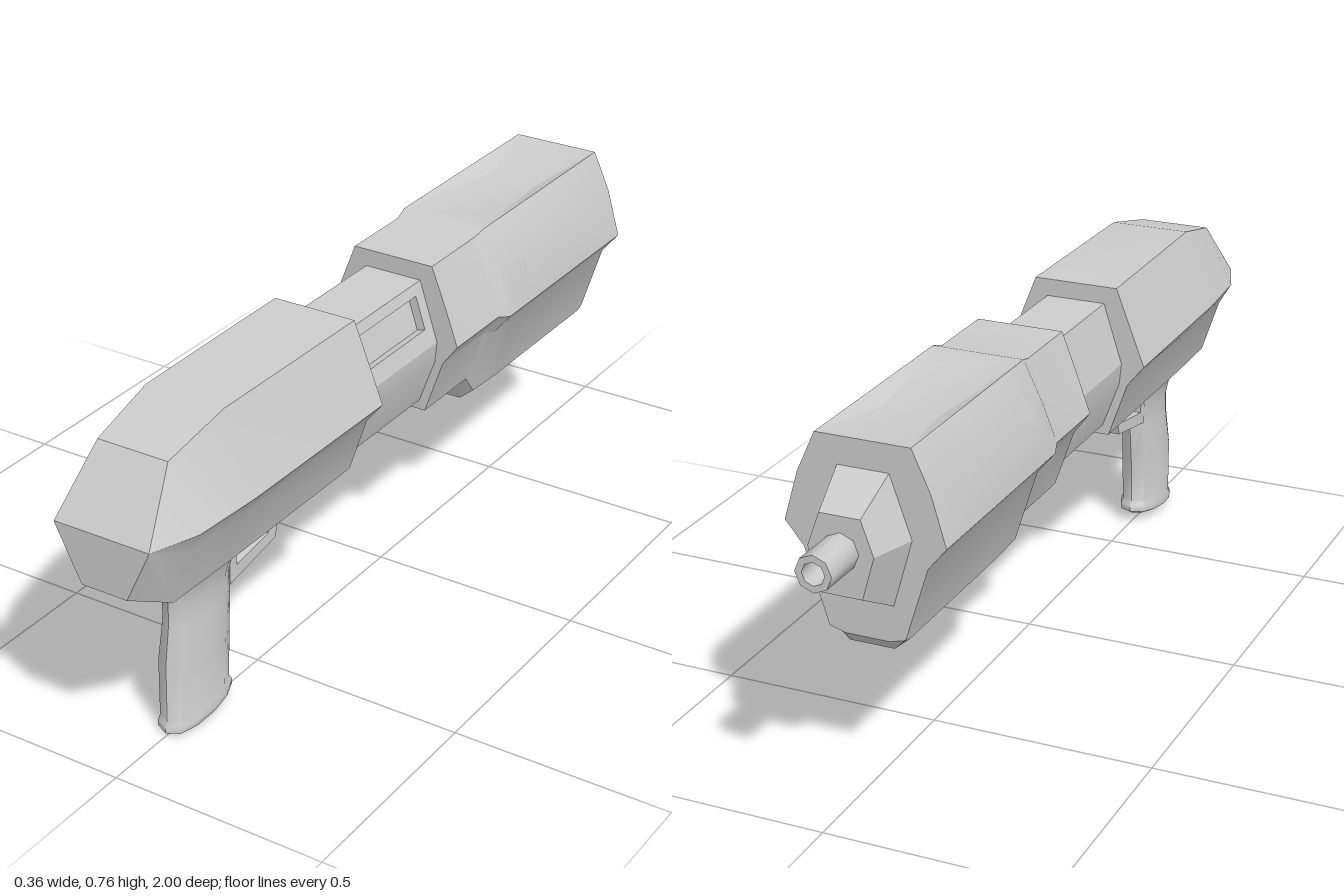
import * as THREE from 'three';
import { toCreasedNormals } from 'three/addons/utils/BufferGeometryUtils.js';

const material = new THREE.MeshStandardMaterial({ color: 0xcccccc, side: THREE.DoubleSide });

// Mirrors a right-hand half section (top to bottom) into a full ring at depth z.
function ring(z, half) {
  const right = half.map(([x, y]) => [x, y, z]);
  const left = half.map(([x, y]) => [-x, y, z]).reverse();
  return [...right, ...left];
}

// Skins a row of rings; skip(i, j) leaves an opening in the wall.
function loft(name, rings, { capFirst = true, capLast = true, skip = () => false, crease = 0.4 } = {}) {
  const pos = [];
  const tri = (a, b, c) => pos.push(...a, ...b, ...c);
  const n = rings[0].length;
  for (let i = 0; i < rings.length - 1; i++) {
    for (let j = 0; j < n; j++) {
      if (skip(i, j)) continue;
      const k = (j + 1) % n;
      tri(rings[i][j], rings[i][k], rings[i + 1][k]);
      tri(rings[i][j], rings[i + 1][k], rings[i + 1][j]);
    }
  }
  const cap = (r, flip) => {
    const mid = [0, 1, 2].map((c) => r.reduce((s, p) => s + p[c], 0) / n);
    r.forEach((p, j) => {
      const q = r[(j + 1) % n];
      flip ? tri(mid, q, p) : tri(mid, p, q);
    });
  };
  if (capFirst) cap(rings[0], true);
  if (capLast) cap(rings[rings.length - 1], false);
  const geo = new THREE.BufferGeometry();
  geo.setAttribute('position', new THREE.Float32BufferAttribute(pos, 3));
  return mesh(name, toCreasedNormals(geo, crease));
}

function mesh(name, geometry) {
  const m = new THREE.Mesh(geometry, material);
  m.name = name;
  return m;
}

// Recess: walls running from an opening's corners to a floor shifted by (dx, dy).
function pocket(name, corners, dx, dy) {
  const floor = corners.map(([x, y, z]) => [x + dx, y + dy, z]);
  return loft(name, [corners, floor], { capFirst: false });
}

export function createModel() {
  const model = new THREE.Group();

  // Rear housing, tapering to a slanted butt
  model.add(loft('rearHousing', [
    ring(1.0, [[0.115, 0.571], [0.115, 0.57], [0.113, 0.565], [0.055, 0.445]]),
    ring(0.89, [[0.085, 0.71], [0.155, 0.57], [0.125, 0.52], [0.082, 0.39]]),
    ring(0.72, [[0.095, 0.75], [0.166, 0.57], [0.13, 0.52], [0.085, 0.39]]),
    ring(0.26, [[0.1, 0.75], [0.17, 0.57], [0.13, 0.52], [0.085, 0.39]]),
  ]));

  // Receiver with a side port and a loading slot underneath
  const receiver = [[0.07, 0.71], [0.078, 0.685], [0.102, 0.61], [0.115, 0.57],
    [0.11, 0.52], [0.07, 0.412], [0.045, 0.41]];
  const depths = [0.3, 0.23, 0.2, 0.0, -0.02, -0.1];
  model.add(loft('receiver', depths.map((z) => ring(z, receiver)), {
    skip: (i, j) => (j === 1 && i >= 1 && i <= 3) || (j === 6 && i === 2),
  }));
  model.add(pocket('ejectionPort',
    [[0.078, 0.685, 0.23], [0.102, 0.61, 0.23], [0.102, 0.61, -0.02], [0.078, 0.685, -0.02]], -0.02, -0.006));
  model.add(pocket('loadingSlot',
    [[0.045, 0.41, 0.2], [-0.045, 0.41, 0.2], [-0.045, 0.41, 0], [0.045, 0.41, 0]], 0, 0.08));

  // Front housing: collar, then the larger fore-end with a shallow top dip and a belly
  const collar = [[0.065, 0.75], [0.1, 0.75], [0.133, 0.665], [0.167, 0.57],
    [0.13, 0.52], [0.085, 0.39], [0.05, 0.39]];
  const foreEnd = (topX, topY, bulge, botY, bellyY) => [[topX, topY], [0.105, 0.76], [bulge, 0.67],
    [0.178, 0.56], [0.137, 0.51], [0.085, botY], [0.05, bellyY]];
  model.add(loft('frontHousing', [
    ring(-0.05, collar),
    ring(-0.23, collar),
    ring(-0.265, foreEnd(0.095, 0.76, 0.148, 0.345, 0.315)),
    ring(-0.36, foreEnd(0.085, 0.752, 0.16, 0.34, 0.31)),
    ring(-0.58, foreEnd(0.065, 0.742, 0.16, 0.34, 0.31)),
    ring(-0.77, foreEnd(0.095, 0.758, 0.15, 0.34, 0.31)),
    ring(-0.79, foreEnd(0.1, 0.76, 0.146, 0.345, 0.335)),
  ]));

  // Muzzle block and hollow barrel
  model.add(loft('muzzleBlock', [
    ring(-0.78, [[0.058, 0.705], [0.107, 0.565], [0.062, 0.41]]),
    ring(-0.89, [[0.045, 0.64], [0.072, 0.565], [0.045, 0.47]]),
  ]));
  const tube = [[0.04, 0], [0.04, 0.12], [0.025, 0.12], [0.025, 0.03], [0, 0.03]]
    .map(([r, l]) => new THREE.Vector2(r, l));
  const barrel = mesh('barrel', toCreasedNormals(new THREE.LatheGeometry(tube, 8), 0.9));
  barrel.rotation.x = -Math.PI / 2;
  barrel.position.set(0, 0.565, -0.88);
  model.add(barrel);

  // Pistol grip: oval sections [y, rear z, front z, half width, tilt], top to bottom
  const sections = [
    [0.4, 0.87, 0.56, 0.075, 0], [0.37, 0.815, 0.595, 0.055, 0], [0.31, 0.803, 0.61, 0.042, 0],
    [0.26, 0.805, 0.612, 0.042, 0], [0.17, 0.82, 0.624, 0.049, 0], [0.045, 0.825, 0.63, 0.047, 0.012],
    [0.032, 0.832, 0.621, 0.051, 0.012], [0.02, 0.832, 0.621, 0.049, 0.012], [0.013, 0.82, 0.632, 0.038, 0.012],
  ];
  const sides = 12;
  const gripRings = sections.map(([y, back, front, w, tilt]) => Array.from({ length: sides }, (_, i) => {
    const t = (i / sides) * Math.PI * 2;
    const s = Math.sin(t);
    const c = Math.cos(t);
    const squared = Math.sign(c) * Math.pow(Math.abs(c), 0.75);
    return [w * squared, y - tilt * s, (back + front) / 2 + ((back - front) / 2) * s];
  }));
  model.add(loft('grip', gripRings, { crease: 0.8 }));

  // Trigger guard, drawn in the side plane as (-z, y)
  const points = (list) => list.map(([z, y]) => new THREE.Vector2(-z, y));
  const guardShape = new THREE.Shape(points([[0.63, 0.275], [0.465, 0.305], [0.443, 0.372],
    [0.27, 0.385], [0.27, 0.4], [0.63, 0.4]]));
  guardShape.holes.push(new THREE.Path(points([[0.605, 0.31], [0.605, 0.365], [0.54, 0.39],
    [0.485, 0.373], [0.49, 0.328]])));
  const guardGeo = new THREE.ExtrudeGeometry(guardShape, { depth: 0.06, bevelEnabled: false });
  guardGeo.translate(0, 0, -0.03).rotateY(Math.PI / 2);
  model.add(mesh('triggerGuard', guardGeo));

  return model;
}
